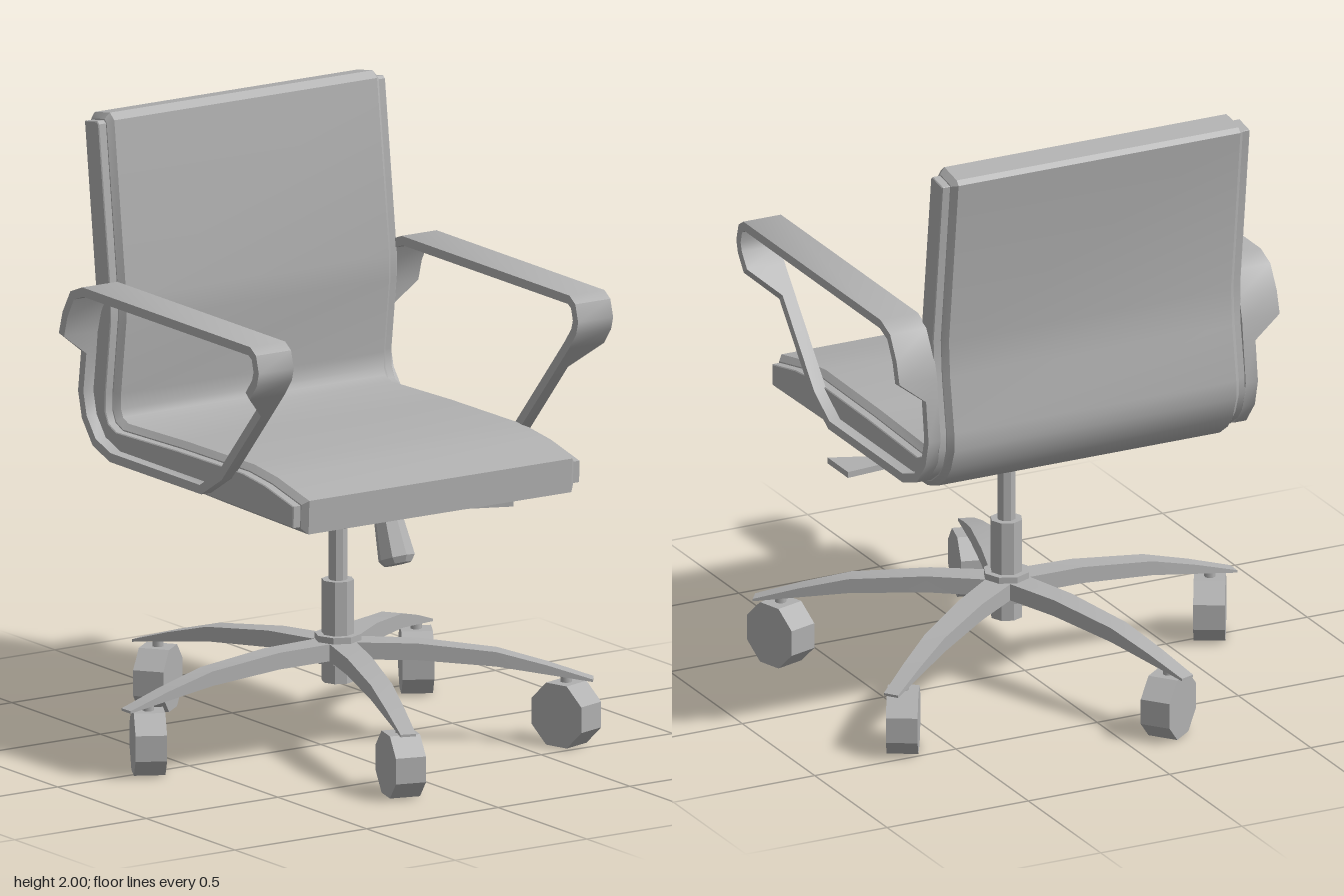
import * as THREE from 'three';
import { toCreasedNormals } from 'three/addons/utils/BufferGeometryUtils.js';

const CX = 0.065; // centre line of the chair

export function createModel() {
  const grey = new THREE.MeshStandardMaterial({ color: 0xb0b0b0 });
  grey.name = 'grey';
  const model = new THREE.Group();
  model.name = 'officeChair';

  const add = (name, geometry, parent = model) => {
    const mesh = new THREE.Mesh(geometry, grey);
    mesh.name = name;
    parent.add(mesh);
    return mesh;
  };

  // Joins four-cornered rings, counter-clockwise around the direction of travel
  const loft = (rings, closed = false, crease = 0.5) => {
    const pos = [];
    const quad = (a, b, c, d) => pos.push(...a, ...b, ...c, ...a, ...c, ...d);
    const n = rings.length;
    for (let i = 0; i < (closed ? n : n - 1); i++) {
      const r = rings[i], s = rings[(i + 1) % n];
      for (let j = 0; j < 4; j++) quad(r[j], r[(j + 1) % 4], s[(j + 1) % 4], s[j]);
    }
    if (!closed) {
      const [a, b, c, d] = rings[0];
      quad(d, c, b, a);
      quad(...rings[n - 1]);
    }
    const g = new THREE.BufferGeometry();
    g.setAttribute('position', new THREE.Float32BufferAttribute(pos, 3));
    return toCreasedNormals(g, crease);
  };

  const drum = (name, rTop, rBottom, y0, y1, sides = 8) => {
    const g = new THREE.CylinderGeometry(rTop, rBottom, y1 - y0, sides).toNonIndexed();
    const mesh = add(name, toCreasedNormals(g, 0.5));
    mesh.position.set(CX, (y0 + y1) / 2, 0);
    return mesh;
  };

  // Seat and back: one bent side profile (depth, height), extruded across
  const profile = [
    [-0.575, 0.86], [-0.1, 0.868], [0.43, 0.882], [0.5, 0.905], [0.555, 0.945],
    [0.59, 0.99], [0.615, 1.06], [0.614, 1.12], [0.585, 1.3], [0.577, 1.42],
    [0.643, 1.97], [0.63, 1.985], [0.545, 2.0], [0.52, 1.98], [0.452, 1.42],
    [0.452, 1.34], [0.482, 1.1], [0.482, 1.05], [0.47, 1.025], [0.44, 1.012],
    [0.1, 1.022], [-0.27, 1.025], [-0.4, 1.01], [-0.58, 0.97],
  ].map(([u, v]) => new THREE.Vector2(u, v));
  const bentSlab = (name, halfWidth, inset, bevel) => {
    const g = new THREE.ExtrudeGeometry(new THREE.Shape(profile), {
      depth: 2 * (halfWidth - bevel), bevelEnabled: true, bevelSegments: 1,
      bevelSize: bevel, bevelThickness: bevel, bevelOffset: -bevel - inset,
    });
    g.translate(0, 0, -(halfWidth - bevel)).rotateY(Math.PI / 2);
    add(name, toCreasedNormals(g, 0.55)).position.x = CX;
  };
  bentSlab('seatAndBackCushion', 0.517, 0, 0.018);
  bentSlab('seatSideFrame', 0.545, 0.022, 0.003);

  // Armrests: closed bands, wide on top and narrow beside the seat
  const armPath = [
    [0.5, 1.463, 1], [-0.44, 1.463, 1], [-0.5, 1.44, 1], [-0.54, 1.37, 1],
    [-0.56, 1.3, 1], [-0.568, 1.23, 0], [-0.585, 1.1, 0], [-0.565, 1.02, 0],
    [-0.51, 0.95, 0], [-0.42, 0.918, 0], [0.09, 0.918, 0], [0.2, 0.985, 0],
    [0.42, 1.235, 0], [0.49, 1.315, 1], [0.528, 1.365, 1], [0.538, 1.4, 1], [0.525, 1.447, 1],
  ];
  for (const side of [-1, 1]) {
    const n = armPath.length;
    const rings = armPath.map(([z, y, wide], i) => {
      const p = armPath[(i + n - 1) % n], q = armPath[(i + 1) % n];
      const before = new THREE.Vector2(z - p[0], y - p[1]).normalize();
      const after = new THREE.Vector2(q[0] - z, q[1] - y).normalize();
      const t = before.add(after).normalize();
      const nz = t.y * 0.015, ny = -t.x * 0.015;
      const ends = [CX + side * 0.54, CX + side * (wide ? 0.673 : 0.583)];
      const lo = Math.min(...ends), hi = Math.max(...ends);
      return [[hi, y - ny, z - nz], [lo, y - ny, z - nz], [lo, y + ny, z + nz], [hi, y + ny, z + nz]];
    });
    add(side > 0 ? 'leftArmrest' : 'rightArmrest', loft(rings, true, 0.7));
  }

  // Mounting plate and tapered tilt housing under the seat
  add('mountingPlate', new THREE.BoxGeometry(0.58, 0.025, 0.56)).position.set(CX, 0.864, 0);
  const level = (y, hx, z0, z1) => [
    [CX - hx, y, z0], [CX - hx, y, z1], [CX + hx, y, z1], [CX + hx, y, z0],
  ];
  add('tiltHousing', loft([level(0.775, 0.075, -0.17, 0.19), level(0.86, 0.15, -0.21, 0.22)]));

  // Tension knob, leaning forward
  const knob = new THREE.Group();
  knob.name = 'tensionKnob';
  knob.position.set(CX, 0.74, 0.302);
  knob.rotation.x = -0.375;
  model.add(knob);
  const knobProfile = [[0, -0.1], [0.045, -0.1], [0.06, -0.08], [0.043, 0.09], [0, 0.09]]
    .map(([r, y]) => new THREE.Vector2(r, y));
  add('knobGrip', toCreasedNormals(new THREE.LatheGeometry(knobProfile, 8).toNonIndexed(), 0.4), knob);
  add('knobStem', new THREE.CylinderGeometry(0.022, 0.022, 0.08, 8), knob).position.y = 0.115;

  // Height lever: cranked rod that widens into a flat paddle
  const lever = [
    [0.1, 0.8, 0.09, 0.115], [0.21, 0.8, 0.09, 0.115], [0.285, 0.745, 0.09, 0.115],
    [0.38, 0.745, 0.09, 0.125], [0.59, 0.745, 0.07, 0.21],
  ].map(([x, y, z0, z1]) => [[x, y - 0.01, z0], [x, y + 0.01, z0], [x, y + 0.01, z1], [x, y - 0.01, z1]]);
  add('heightLever', loft(lever));

  // Gas column and hub
  drum('columnCollar', 0.062, 0.062, 0.73, 0.78);
  drum('columnCollarTaper', 0.062, 0.04, 0.7, 0.73);
  drum('columnRod', 0.03, 0.03, 0.5, 0.72);
  drum('columnSleeve', 0.052, 0.052, 0.2, 0.53);
  drum('hub', 0.075, 0.075, 0.265, 0.355);

  // Five arched legs with swivelled casters; turn is the heading of each wheel axle
  const legSections = [
    [0.03, 0.28, 0.335, 0.045], [0.25, 0.278, 0.332, 0.04], [0.5, 0.258, 0.305, 0.035],
    [0.66, 0.232, 0.262, 0.03], [0.805, 0.208, 0.216, 0.025],
  ].map(([x, b, t, w]) => [[x, b, -w], [x, t, -w], [x, t, w], [x, b, w]]);
  const legGeometry = loft(legSections);
  const wheelGeometry = toCreasedNormals(
    new THREE.CylinderGeometry(0.109, 0.109, 0.1, 8).rotateY(Math.PI / 8).rotateZ(Math.PI / 2).toNonIndexed(), 0.4);
  const turns = [-0.3, 0.27, 0.5, 0.9, 0.52];
  turns.forEach((turn, i) => {
    const angle = (36 + 72 * i) * Math.PI / 180;
    const leg = add('leg' + (i + 1), legGeometry);
    leg.position.x = CX;
    leg.rotation.y = -angle;
    const caster = new THREE.Group();
    caster.name = 'caster' + (i + 1);
    caster.position.set(CX + 0.72 * Math.cos(angle), 0, 0.72 * Math.sin(angle));
    caster.rotation.y = -turn;
    model.add(caster);
    add('wheel', wheelGeometry, caster).position.y = 0.102;
    add('casterStem', new THREE.CylinderGeometry(0.018, 0.018, 0.06, 8), caster).position.y = 0.205;
  });

  return model;
}
